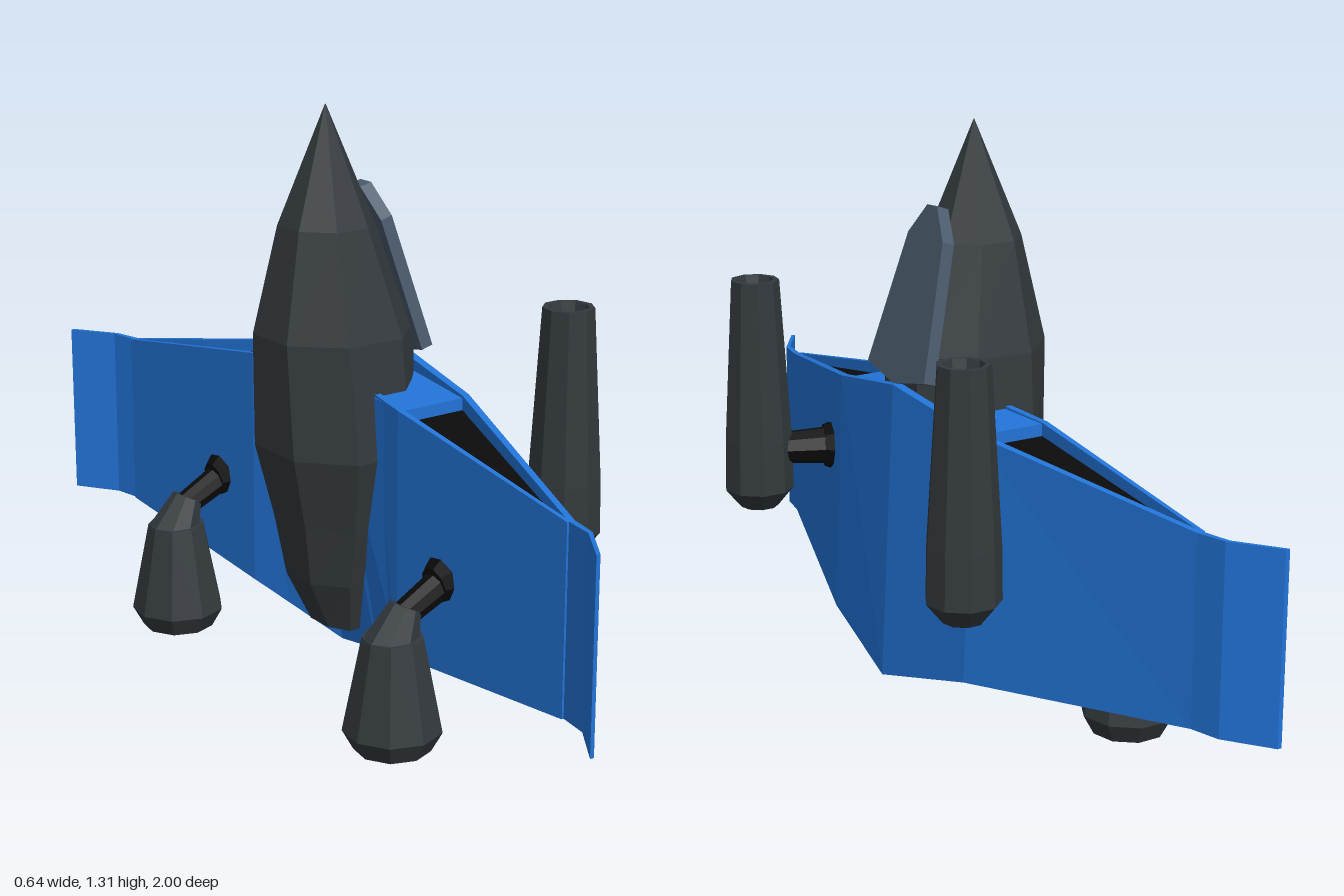
import * as THREE from 'three';

const paint = (color) => new THREE.MeshStandardMaterial({ color, flatShading: true, side: THREE.DoubleSide });
const BLUE = paint(0x2274d8);
const GREY = paint(0x33393d);
const BLACK = paint(0x0b0b0b);
const GLASS = paint(0x4a5a6c);

// Skin through cross-sections { z, p: [[x, y], ...] }, counterclockwise seen from +z, z increasing
function loft(sections) {
  const pos = [];
  const n = sections[0].p.length;
  const put = (s, j) => pos.push(s.p[j % n][0], s.p[j % n][1], s.z);
  for (let i = 0; i + 1 < sections.length; i++) {
    const a = sections[i], b = sections[i + 1];
    for (let j = 0; j < n; j++) {
      put(a, j); put(a, j + 1); put(b, j + 1);
      put(a, j); put(b, j + 1); put(b, j);
    }
  }
  const first = sections[0], last = sections[sections.length - 1];
  for (let j = 1; j + 1 < n; j++) {
    put(first, 0); put(first, j + 1); put(first, j);
    put(last, 0); put(last, j); put(last, j + 1);
  }
  const g = new THREE.BufferGeometry();
  g.setAttribute('position', new THREE.Float32BufferAttribute(pos, 3));
  g.computeVertexNormals();
  return g;
}

// Four-cornered section: inner and outer x at the bottom, then at the top
const quad = (z, yB, yT, inB, outB, inT, outT) => ({ z, p: [[inB, yB], [outB, yB], [outT, yT], [inT, yT]] });

// Repeat sections from z = 0 outward on the other side
const mirrored = (half) => [
  ...half.slice(1).reverse().map((s) => ({ z: -s.z, p: s.p })),
  ...half,
];

export function createModel() {
  const model = new THREE.Group();
  const add = (name, geometry, material, parent = model) => {
    const mesh = new THREE.Mesh(geometry, material);
    mesh.name = name;
    parent.add(mesh);
    return mesh;
  };

  // Tapered round bar between two points
  const bar = (name, from, to, r0, r1, material, parent) => {
    const a = new THREE.Vector3(...from), b = new THREE.Vector3(...to);
    const d = b.clone().sub(a);
    const mesh = add(name, new THREE.CylinderGeometry(r1, r0, d.length(), 9), material, parent);
    mesh.position.copy(a).add(b).multiplyScalar(0.5);
    mesh.quaternion.setFromUnitVectors(new THREE.Vector3(0, 1, 0), d.normalize());
  };

  const turned = (profile) => new THREE.LatheGeometry(profile.map(([r, y]) => new THREE.Vector2(r, y)), 9);

  // Wing: bent outer skin with swept tips, flat inner skin, solid centre
  add('outerWingSkin', loft(mirrored([
    quad(0, 0.06, 0.74, 0.14, 0.165, 0.11, 0.132),
    quad(0.28, 0.13, 0.693, 0.105, 0.125, 0.085, 0.103),
    quad(0.83, 0.18, 0.6, -0.085, -0.07, -0.085, -0.07),
    quad(0.9, 0.18, 0.6, -0.097, -0.086, -0.097, -0.086),
    quad(1, 0.18, 0.6, -0.165, -0.155, -0.165, -0.155),
  ])), BLUE);
  add('innerWingSkin', loft(mirrored([
    quad(0, 0.06, 0.705, -0.035, -0.02, -0.075, -0.06),
    quad(0.17, 0.1, 0.7, -0.065, -0.05, -0.075, -0.06),
    quad(0.28, 0.13, 0.69, -0.09, -0.075, -0.09, -0.075),
    quad(0.83, 0.18, 0.6, -0.09, -0.08, -0.09, -0.08),
  ])), BLUE);
  add('wingCentre', loft(mirrored([
    quad(0, 0.062, 0.705, -0.03, 0.15, -0.07, 0.115),
    quad(0.28, 0.132, 0.687, -0.085, 0.115, -0.085, 0.09),
  ])), BLUE);

  // Dark recessed cores between the skins
  const core = [
    quad(0.281, 0.16, 0.66, -0.08, 0.11, -0.08, 0.09),
    quad(0.82, 0.2, 0.58, -0.083, -0.075, -0.083, -0.075),
  ];
  add('leftWingCore', loft(core), BLACK);
  add('rightWingCore', loft(core.map((s) => ({ z: -s.z, p: s.p })).reverse()), BLACK);

  // Pointed eight-sided hull: height, centre x, radius in x, radius in z
  const rings = [
    [0.12, -0.06, 0.05, 0.09], [0.24, -0.06, 0.112, 0.125], [0.38, -0.06, 0.137, 0.16],
    [0.55, -0.06, 0.18, 0.2], [0.81, -0.065, 0.184, 0.172], [1.05, -0.085, 0.108, 0.108],
    [1.31, -0.085, 0.001, 0.001],
  ];
  const hull = loft(rings.map(([y, cx, rx, rz]) => ({
    z: y,
    p: Array.from({ length: 8 }, (_, i) => {
      const t = (i + 0.5) * Math.PI / 4;
      return [cx + rx * Math.cos(t), rz * Math.sin(t)];
    }),
  })));
  hull.rotateX(-Math.PI / 2);
  add('hull', hull, GREY).position.z = 0.01;

  // Canopy: thin six-sided plate leaning on the hull
  const pane = new THREE.Shape([
    [0, 0], [0.12, 0.025], [0.072, 0.33], [0.02, 0.4], [-0.02, 0.4], [-0.072, 0.33], [-0.12, 0.025],
  ].map(([x, y]) => new THREE.Vector2(x, y)));
  const canopy = add('canopy', new THREE.ExtrudeGeometry(pane, { depth: 0.03, bevelEnabled: false }), GLASS);
  canopy.rotation.set(0, Math.PI / 2, 0);
  canopy.rotateX(-0.26);
  canopy.position.set(0.1, 0.735, 0.005);

  for (const side of [1, -1]) {
    const label = side > 0 ? 'left' : 'right';

    // Slim pod standing off the outer face
    const pod = add(label + 'Pod', turned([
      [0, 0.355], [0.045, 0.355], [0.082, 0.4], [0.08, 0.52], [0.057, 0.905], [0.045, 0.905], [0.04, 0.88], [0, 0.88],
    ]), GREY);
    pod.position.set(0.237, 0, side > 0 ? 0.447 : -0.453);

    // Thruster with hollow nozzle, tilted collar and dark strut to the inner face
    const thruster = new THREE.Group();
    thruster.name = label + 'Thruster';
    thruster.position.set(-0.213, 0, side * 0.43);
    model.add(thruster);
    add('nozzle', turned([
      [0.055, 0.04], [0.06, 0], [0.084, 0], [0.109, 0.045], [0.067, 0.255], [0, 0.255],
    ]), GREY, thruster);
    add('nozzleBore', turned([[0, 0.08], [0.045, 0.08], [0.056, 0.02]]), BLACK, thruster);
    bar('collar', [-0.01, 0.225, 0], [0.032, 0.315, 0], 0.064, 0.036, GREY, thruster);
    bar('strut', [0.025, 0.295, 0], [0.115, 0.34, 0], 0.03, 0.034, BLACK, thruster);
    bar('strutFlange', [0.108, 0.345, 0], [0.13, 0.35, 0], 0.04, 0.055, BLACK, thruster);
  }

  // Mount of the left pod only
  bar('podMountFlange', [0.055, 0.495, 0.375], [0.092, 0.495, 0.39], 0.066, 0.05, BLACK);
  bar('podMount', [0.08, 0.495, 0.385], [0.2, 0.495, 0.43], 0.045, 0.036, BLACK);

  return model;
}
